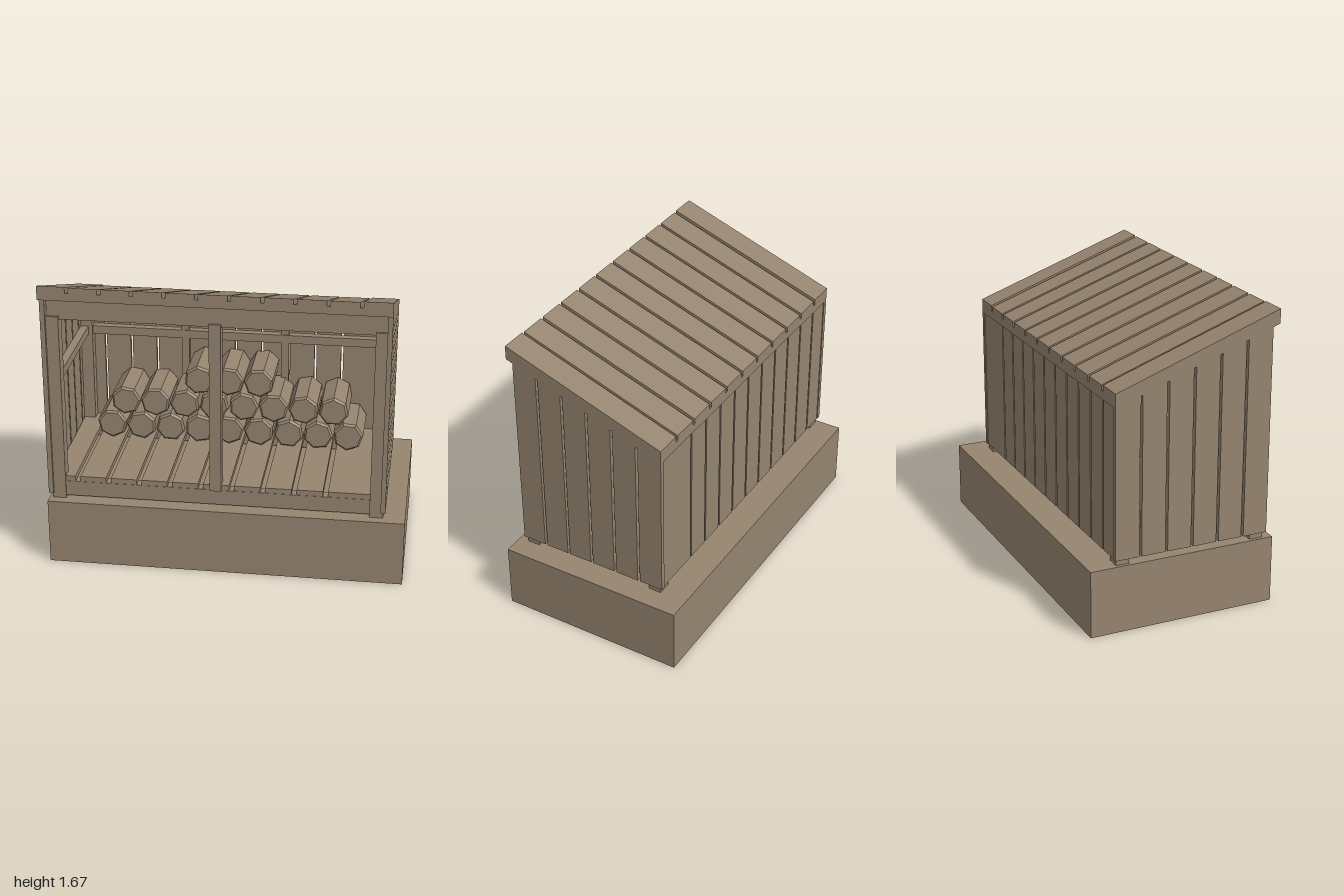
import * as THREE from 'three';

const X0 = -1, X1 = 0.89, WALL = 0.027;
const roofTop = (z) => 1.477 + 0.351 * z;

export function createModel() {
  const model = new THREE.Group();
  model.name = 'firewoodShed';
  const wood = new THREE.MeshStandardMaterial({ color: 0x95846f });
  wood.name = 'weathered wood';

  const add = (name, geometry, parent = model) => {
    const mesh = new THREE.Mesh(geometry, wood);
    mesh.name = name;
    parent.add(mesh);
    return mesh;
  };
  const group = (name) => {
    const g = new THREE.Group();
    g.name = name;
    model.add(g);
    return g;
  };
  // Box given by its limits on each axis
  const box = (name, x0, x1, y0, y1, z0, z1, parent) => {
    const g = new THREE.BoxGeometry(x1 - x0, y1 - y0, z1 - z0);
    g.translate((x0 + x1) / 2, (y0 + y1) / 2, (z0 + z1) / 2);
    return add(name, g, parent);
  };
  // Side profile of [z, y] points extruded from x0 to x1
  const profile = (name, points, x0, x1, parent) => {
    const shape = new THREE.Shape(points.map(([z, y]) => new THREE.Vector2(-z, y)));
    const g = new THREE.ExtrudeGeometry(shape, { depth: x1 - x0, bevelEnabled: false });
    g.rotateY(Math.PI / 2);
    g.translate(x0, 0, 0);
    return add(name, g, parent);
  };
  // Row of boards between two limits, split by evenly spaced gaps
  const boards = (from, to, firstGap, pitch, gaps, width, make) => {
    let start = from;
    for (let i = 0; i <= gaps; i++) {
      const gap = firstGap + i * pitch;
      make(start, i < gaps ? gap - width / 2 : to, i);
      start = gap + width / 2;
    }
  };

  // Plinth
  box('base', -1, 1, 0, 0.38, -0.54, 0.54);

  // Sloping roof: deck with boards on top
  const roof = group('roof');
  const slope = (name, x0, x1, high, low) => profile(name, [
    [0.54, roofTop(0.54) - high], [-0.4, roofTop(-0.4) - high],
    [-0.4, roofTop(-0.4) - low], [0.54, roofTop(0.54) - low],
  ], x0, x1, roof);
  slope('roofDeck', X0, X1, 0.035, 0.08);
  boards(X0, X1, -0.838, 0.174, 10, 0.018, (a, b, i) =>
    slope('roofBoard', a, b, i === 0 || i === 10 ? 0 : 0.004, 0.035));

  // Side walls with rails inside
  const walls = group('walls');
  for (const x of [X0, X1 - WALL]) {
    boards(-0.4, 0.5, -0.254, 0.1515, 5, 0.014, (a, b) => profile('sideBoard', [
      [a, 0.415], [b, 0.415], [b, roofTop(b) - 0.08], [a, roofTop(a) - 0.08],
    ], x, x + WALL, walls));
  }
  box('leftRail', X1 - WALL - 0.045, X1 - WALL, 1.055, 1.105, -0.35, 0.43, walls);
  box('rightRail', X0 + WALL, X0 + WALL + 0.045, 1.055, 1.105, -0.35, 0.43, walls);

  // Back wall
  boards(X0 + WALL, X1 - WALL, -0.837, 0.1565, 10, 0.012, (a, b) =>
    box('backBoard', a, b, 0.415, 1.262, -0.395, -0.37, walls));
  box('backRail', -0.97, 0.86, 1.055, 1.105, -0.37, -0.325, walls);
  for (const x of [-0.35, 0.24]) {
    box('backStud', x - 0.022, x + 0.022, 0.515, 1.275, -0.37, -0.33, walls);
  }

  // Frame: corner posts, centre post and beams
  const frame = group('frame');
  for (const x of [-0.98, 0.802]) {
    box('frontPost', x, x + 0.076, 0.38, 1.473, 0.41, 0.485, frame);
    box('backPost', x, x + 0.076, 0.38, 1.27, -0.385, -0.31, frame);
  }
  box('centrePost', -0.086, -0.022, 0.48, 1.473, 0.41, 0.485, frame);
  box('topBeam', -0.97, 0.862, 1.455, 1.562, 0.42, 0.472, frame);
  box('frontSill', -0.97, 0.862, 0.395, 0.484, 0.42, 0.477, frame);
  box('backSill', -0.97, 0.862, 0.395, 0.484, -0.37, -0.31, frame);

  // Floor boards
  const floor = group('floor');
  boards(-0.97, 0.862, -0.835, 0.174, 9, 0.028, (a, b) =>
    box('floorBoard', a, b, 0.484, 0.515, -0.37, 0.475, floor));

  // Stacked seven-sided logs with bevelled ends
  const logs = group('logs');
  const half = 0.16, r = 0.088;
  const logGeometry = new THREE.LatheGeometry([
    [0, -half], [r - 0.012, -half], [r, -half + 0.012],
    [r, half - 0.012], [r - 0.012, half], [0, half],
  ].map(([a, b]) => new THREE.Vector2(a, b)), 7).toNonIndexed();
  logGeometry.rotateX(Math.PI / 2);
  logGeometry.computeVertexNormals();
  const rows = [[9, -0.745, 0.602], [8, -0.66, 0.755], [3, -0.228, 0.908]];
  rows.forEach(([count, x, y], row) => {
    for (let i = 0; i < count; i++) {
      const log = add('log', logGeometry, logs);
      log.position.set(x + i * 0.173, y, -0.21);
      log.rotation.z = (i * 3 + row * 2) * 0.37;
    }
  });

  return model;
}
